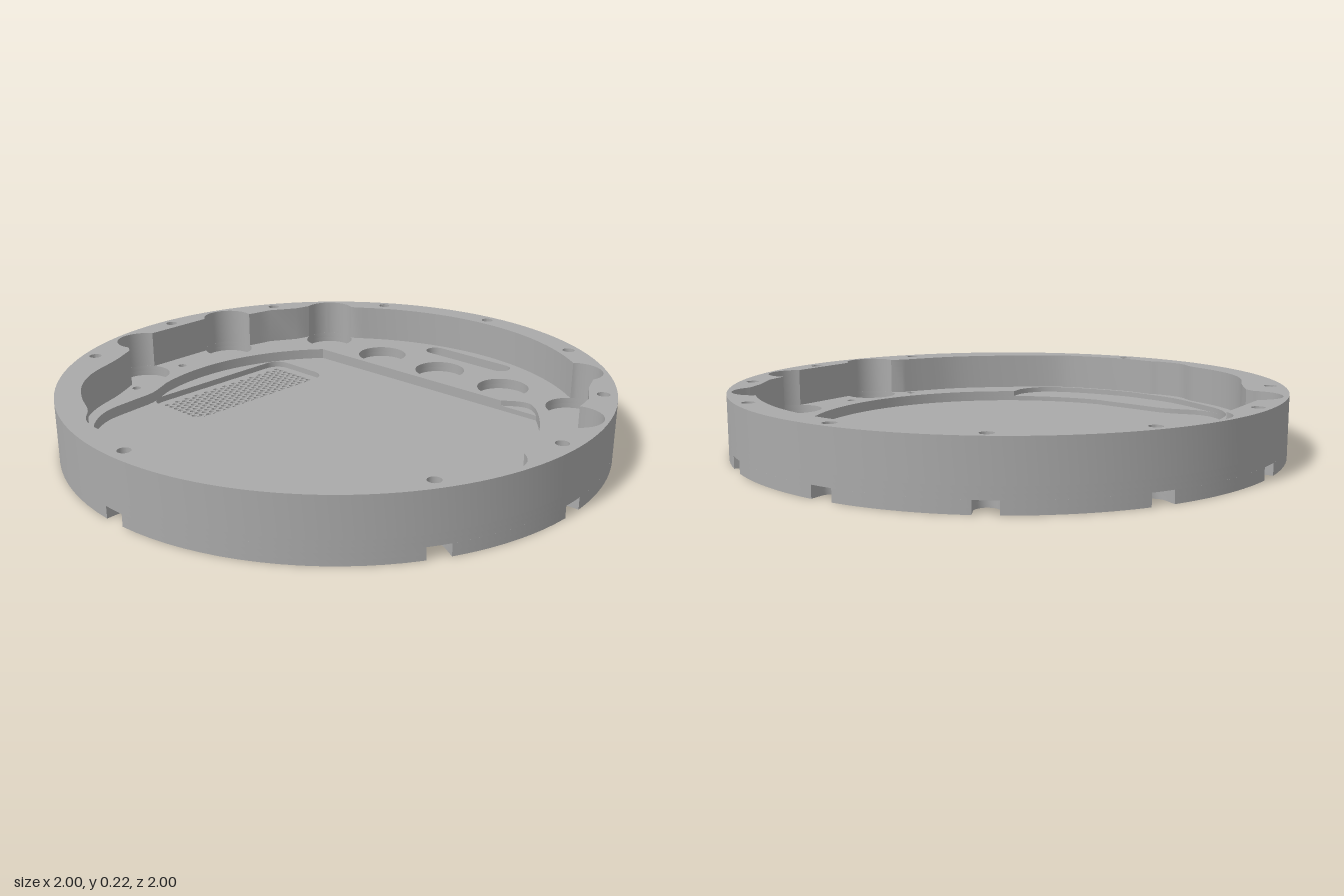
import * as THREE from 'three';
import { toCreasedNormals } from 'three/addons/utils/BufferGeometryUtils.js';

// All plan outlines are lists of [x, z] points.
const rad = THREE.MathUtils.degToRad;

function arc(cx, cz, r, fromDeg, toDeg, n = 24) {
  const pts = [];
  for (let i = 0; i <= n; i++) {
    const a = rad(fromDeg + (toDeg - fromDeg) * i / n);
    pts.push([cx + r * Math.cos(a), cz + r * Math.sin(a)]);
  }
  return pts;
}
const circle = (cx, cz, r, n = 32) => arc(cx, cz, r, 0, 360 * (n - 1) / n, n - 1);
const slot = (x0, x1, z, r) => [...arc(x1, z, r, -90, 90, 12), ...arc(x0, z, r, 90, 270, 12)];

function smooth(points, n = 40) {
  const curve = new THREE.SplineCurve(points.map(p => new THREE.Vector2(...p)));
  return curve.getPoints(n).map(p => [p.x, p.y]);
}
function roundedRect(x0, x1, z0, z1, r) {
  return [...arc(x1 - r, z0 + r, r, -90, 0, 8), ...arc(x1 - r, z1 - r, r, 0, 90, 8),
    ...arc(x0 + r, z1 - r, r, 90, 180, 8), ...arc(x0 + r, z0 + r, r, 180, 270, 8)];
}

// A horizontal slab with openings between two heights
function slab(name, outline, holes, y0, y1, material) {
  const vec = pts => pts.map(p => new THREE.Vector2(...p));
  const shape = new THREE.Shape(vec(outline));
  shape.holes = holes.map(h => new THREE.Path(vec(h)));
  let geo = new THREE.ExtrudeGeometry(shape, { depth: y1 - y0, bevelEnabled: false, curveSegments: 1 });
  geo.rotateX(Math.PI / 2).translate(0, y1, 0);
  geo = toCreasedNormals(geo, 0.5);
  const mesh = new THREE.Mesh(geo, material);
  mesh.name = name;
  return mesh;
}

const screws = [[-0.015, -0.955], [-0.485, -0.825], [0.46, -0.835], [-0.83, -0.47], [0.815, -0.49],
  [-0.955, 0.005], [0.945, -0.02], [-0.82, 0.48], [0.825, 0.46], [0.01, 0.945]];
const wells = [[-0.63, -0.62], [-0.315, -0.62], [-0.01, -0.63], [0.3, -0.635], [0.615, -0.635],
  [-0.855, -0.22], [0.85, -0.24], [-0.85, 0.235], [0.855, 0.215]];
const pins = [[-0.82, 0.065], [-0.735, 0.36], [0.815, 0.045], [0.74, 0.345]];

// Disc outline with a round-ended radial notch at every screw
function notchedDisc() {
  const w = 0.04, half = Math.asin(w) * 180 / Math.PI;
  const list = screws.map(([x, z]) => ({ a: Math.atan2(z, x) * 180 / Math.PI, x, z }))
    .sort((p, q) => p.a - q.a);
  const pts = [];
  list.forEach((s, i) => {
    const next = i + 1 < list.length ? list[i + 1].a : list[0].a + 360;
    pts.push(...arc(s.x, s.z, w, s.a + 270, s.a + 90, 12));
    pts.push(...arc(0, 0, 1, s.a + half, next - half, 16));
  });
  return pts;
}

// Staggered round perforations
function grilleHoles() {
  const holes = [], pitch = 0.0272, rowStep = 0.0245;
  for (let row = 0; row < 25; row++) {
    for (let i = 0; i < 8; i++) {
      holes.push(circle(-0.632 + i * pitch + (row % 2) * pitch / 2, -0.295 + row * rowStep, 0.0105, 8));
    }
  }
  return holes;
}

// Upper cavity, scalloped around the outer wells
function cavity() {
  return [
    ...arc(0, 0, 0.905, -128, -52, 32),
    ...arc(0.615, -0.635, 0.1, -120, 20),
    [0.74, -0.52], [0.80, -0.42], [0.812, -0.36],
    ...arc(0.85, -0.24, 0.1, -110, 55),
    ...arc(0.855, 0.215, 0.1, -60, 110),
    ...smooth([[0.785, 0.34], [0.74, 0.43], [0.66, 0.56], [0.53, 0.69], [0.35, 0.83], [0.22, 0.885],
      [0, 0.912], [-0.12, 0.895], [-0.18, 0.902], [-0.28, 0.885], [-0.36, 0.825], [-0.47, 0.775],
      [-0.58, 0.7], [-0.66, 0.6], [-0.72, 0.46], [-0.78, 0.35]], 64),
    ...arc(-0.85, 0.235, 0.1, 70, 240),
    ...arc(-0.855, -0.22, 0.1, 120, 290),
    [-0.812, -0.36], [-0.80, -0.42], [-0.74, -0.52],
    ...arc(-0.63, -0.62, 0.1, 160, 300),
  ];
}

// Main pocket: a circle cut off straight at the back, bulging at the front left
const pocketSide = [[-0.55, 0.68], [-0.615, 0.58], [-0.635, 0.45], [-0.648, 0.35], [-0.69, 0.26]];
const pocketEnd = arc(0, 0, 0.74, 161, 222, 32);

const lowerPocket = () => [
  ...arc(0, 0, 0.743, -43.8, 88, 64),
  ...smooth([[0, 0.737], [-0.15, 0.72], [-0.3, 0.705], [-0.45, 0.735], ...pocketSide]),
  ...pocketEnd,
];
const upperPocket = () => [
  ...arc(0, 0, 0.743, -43.8, 58, 48),
  ...smooth([[0.397, 0.65], [0.4, 0.72], [0.35, 0.81], [0.22, 0.868], [0, 0.895], [-0.12, 0.88],
    [-0.27, 0.845], [-0.45, 0.75], ...pocketSide], 56),
  ...pocketEnd,
  [0.38, -0.51],
  ...smooth([[0.4, -0.525], [0.44, -0.55], [0.48, -0.555], [0.52, -0.53]], 10),
];

export function createModel() {
  const group = new THREE.Group();
  group.name = 'roundHousing';
  const grey = new THREE.MeshStandardMaterial({ color: 0xaaaaaa });
  grey.name = 'grey';

  const notched = notchedDisc();
  const disc = circle(0, 0, 1, 160);
  const screwHoles = screws.map(([x, z]) => circle(x, z, 0.023, 20));
  const wellHoles = wells.map(([x, z]) => circle(x, z, 0.1, 40));
  const pinHoles = pins.map(([x, z]) => circle(x, z, 0.017, 16));
  const portHole = slot(-0.125, 0.1, -0.82, 0.028);
  const portRecess = slot(-0.18, 0.155, -0.82, 0.042);
  const portPegs = [-0.18, 0.155].map(x => circle(x, -0.82, 0.025, 20));

  // Floor with perforated grille
  group.add(slab('floor', notched, [...grilleHoles(), portHole], 0, 0.02, grey));
  // Floor of the main pocket, open over the grille
  group.add(slab('pocketFloor', notched,
    [roundedRect(-0.675, -0.385, -0.34, 0.345, 0.06), portHole, ...portPegs], 0.02, 0.043, grey));
  // Lower ledge, with the front recess as its top
  group.add(slab('lowerLedge', disc,
    [lowerPocket(), portRecess, ...screwHoles, ...wellHoles, ...pinHoles], 0.043, 0.062, grey));
  // Upper ledge
  group.add(slab('upperLedge', disc,
    [upperPocket(), portRecess, ...screwHoles, ...wellHoles, ...pinHoles], 0.062, 0.083, grey));
  // Outer wall
  group.add(slab('outerWall', disc, [cavity(), ...screwHoles], 0.083, 0.225, grey));
  return group;
}
